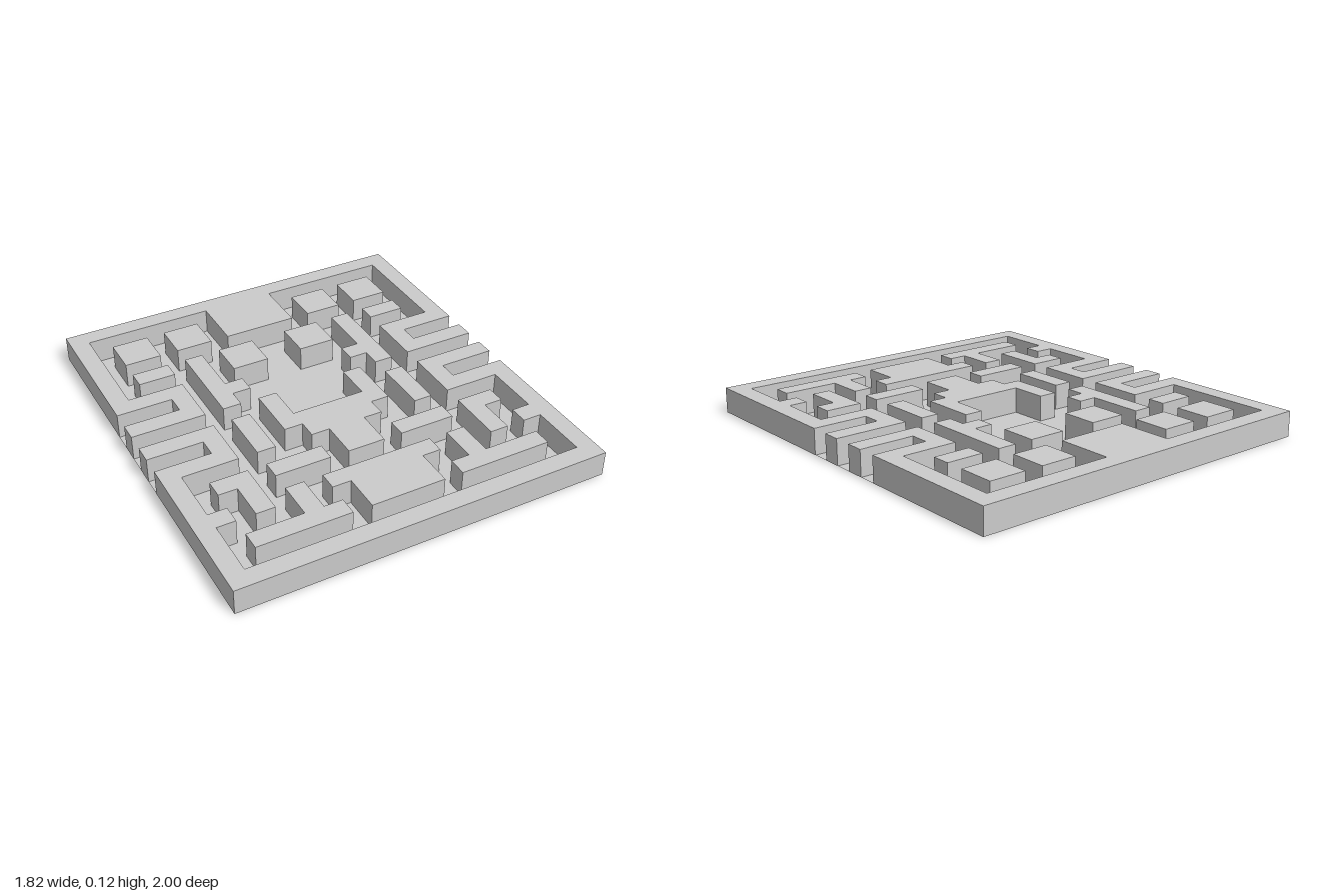
import * as THREE from 'three';

const U = 1 / 11;      // one maze cell
const HEIGHT = 0.125;  // wall height

const material = new THREE.MeshStandardMaterial({ color: 0xcccccc, flatShading: true, side: THREE.DoubleSide });

// Outlines are [x, z] corners in cells
const toPoints = (pts) => pts.map(([x, z]) => new THREE.Vector2(x * U, -z * U));
const mirrorX = (pts) => pts.map(([x, z]) => [-x, z]).reverse();
const rect = (x0, z0, x1, z1) => [[x0, z0], [x1, z0], [x1, z1], [x0, z1]];
// Close a half outline that starts and ends on x = 0
const symmetric = (half) => [...half, ...mirrorX(half).slice(1, -1)];

// Wall shell: sides and top, open underneath
function wall(name, pts) {
  const full = new THREE.ExtrudeGeometry(new THREE.Shape(toPoints(pts)), { depth: HEIGHT, bevelEnabled: false });
  full.rotateX(-Math.PI / 2);
  const p = full.attributes.position, kept = [];
  for (let i = 0; i < p.count; i += 3) {
    const isBottom = [0, 1, 2].every((k) => p.getY(i + k) < 1e-5);
    if (isBottom) continue;
    for (let k = 0; k < 3; k++) kept.push(p.getX(i + k), p.getY(i + k), p.getZ(i + k));
  }
  const geo = new THREE.BufferGeometry();
  geo.setAttribute('position', new THREE.Float32BufferAttribute(kept, 3));
  geo.computeVertexNormals();
  const mesh = new THREE.Mesh(geo, material);
  mesh.name = name;
  return mesh;
}

// Flat floor at ground level, with openings under the hollow walls
function floor(name, pts, holes = []) {
  const shape = new THREE.Shape(toPoints(pts));
  shape.holes = holes.map((h) => new THREE.Path(toPoints(h)));
  const mesh = new THREE.Mesh(new THREE.ShapeGeometry(shape).rotateX(-Math.PI / 2), material);
  mesh.name = name;
  return mesh;
}

export function createModel() {
  const group = new THREE.Group();
  group.name = 'maze';

  // Outer rim, split by the side tunnels
  group.add(wall('backRim', symmetric([
    [0, -11], [10, -11], [10, -3], [7, -3], [7, -2], [10, -2], [10, -1], [6, -1],
    [6, -4], [9, -4], [9, -10], [2, -10], [2, -7], [0, -7]])));
  group.add(wall('frontRim', symmetric([
    [0, 11], [10, 11], [10, 2], [7, 2], [7, 1], [10, 1], [10, 0], [6, 0], [6, 3],
    [9, 3], [9, 6], [8, 6], [8, 7], [9, 7], [9, 10], [0, 10]])));

  // Free-standing walls that come in left and right pairs
  const paired = {
    outerBlock: rect(6, -9, 8, -7),
    innerBlock: rect(3, -9, 5, -7),
    shortBar: rect(6, -6, 8, -5),
    middleBlock: rect(1, -6, 3, -4),
    branchedBar: [[4, -6], [5, -6], [5, -1], [4, -1], [4, -2], [3, -2], [3, -3], [4, -3]],
    uprightBar: rect(4, 0, 5, 3),
    crossBar: rect(2, 4, 5, 5),
    cornerWall: [[6, 4], [8, 4], [8, 5], [7, 5], [7, 7], [6, 7]],
    steppedBar: [[4, 6], [5, 6], [5, 8], [8, 8], [8, 9], [3, 9], [3, 8], [4, 8]],
  };
  // Walls on the centre line
  const central = {
    centrePen: symmetric([[0, 1], [2, 1], [2, -1], [3, -1], [3, 2], [2, 2], [2, 3], [1, 3], [1, 5], [0, 5]]),
    frontCentreWall: symmetric([[0, 6], [3, 6], [3, 7], [2, 7], [2, 9], [0, 9]]),
  };
  const islands = [];
  const addIsland = (name, pts) => {
    islands.push(pts);
    group.add(wall(name, pts));
  };
  for (const [name, pts] of Object.entries(paired)) {
    addIsland(name + 'Left', pts);
    addIsland(name + 'Right', mirrorX(pts));
  }
  for (const [name, pts] of Object.entries(central)) addIsland(name, pts);

  // Corridor floor
  group.add(floor('corridorFloor', symmetric([
    [0, -7], [2, -7], [2, -10], [9, -10], [9, -4], [6, -4], [6, -1], [10, -1], [10, 0], [6, 0],
    [6, 3], [9, 3], [9, 6], [8, 6], [8, 7], [9, 7], [9, 10], [0, 10]]), islands));

  // Floors of the side pockets
  for (const z of [-3, 1]) {
    group.add(floor('pocketFloorLeft', rect(7, z, 10, z + 1)));
    group.add(floor('pocketFloorRight', rect(-10, z, -7, z + 1)));
  }
  return group;
}
